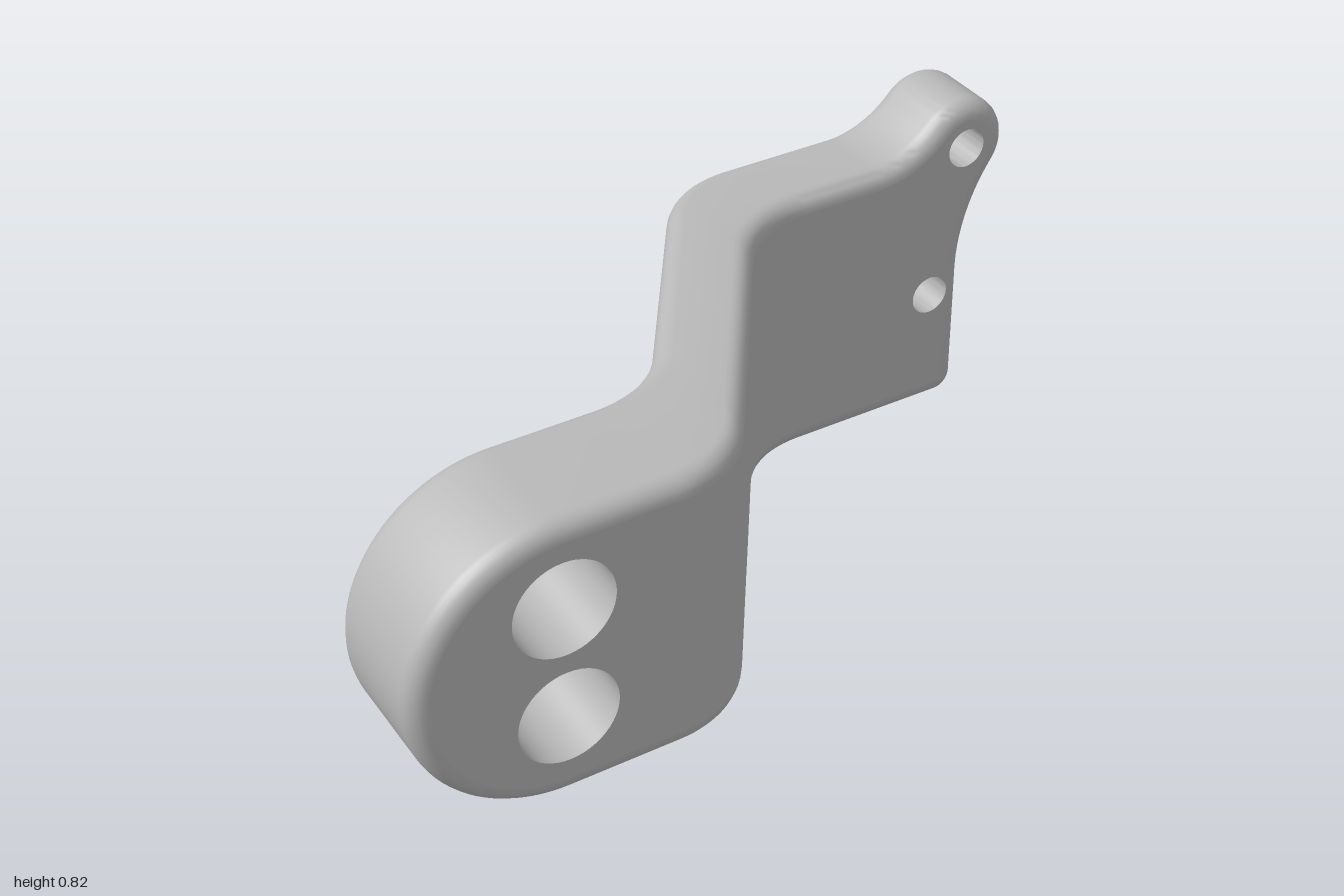
import * as THREE from 'three';
import { mergeGeometries, toCreasedNormals } from 'three/addons/utils/BufferGeometryUtils.js';

const X_LEFT = -0.46, X_RIGHT = 0.46, STEPS = 56; // span holding both bends
const HEIGHT = 0.705, EDGE = 0.045;               // plate height, edge rounding
const Z_LEFT = [0.18, 0.51], Z_RIGHT = [-0.51, -0.277]; // back and front of each end
const BEND = 0.26, SLOPE = 1.5;
const SEG = 48;

// Fall away from a flat along a filleted bend that ends in a straight slope
function drop(u) {
  if (u <= 0) return 0;
  const a = Math.atan(SLOPE);
  return u < BEND * Math.sin(a)
    ? BEND - Math.sqrt(BEND * BEND - u * u)
    : SLOPE * (u - BEND * Math.tan(a / 2));
}

// Step-shaped surface z(x) with two filleted corners
function stepSurface(zLeft, zRight, xa, xb) {
  const t = BEND * Math.tan(Math.atan(SLOPE) / 2);
  const middle = (xa + xb) / 2;
  return x => x < middle ? zLeft - drop(x - xa + t) : zRight + drop(xb + t - x);
}
const frontZ = stepSurface(Z_LEFT[1], Z_RIGHT[1], -0.24, 0.285);
const backZ = stepSurface(Z_LEFT[0], Z_RIGHT[0], -0.265, 0.195);

// Depth below a surface, kept constant along the surface normal
function below(surface, x, d) {
  const slope = (surface(x + 0.001) - surface(x - 0.001)) / 0.002;
  return d * Math.hypot(1, slope);
}

// Outline seen from the front, counter-clockwise, with outward normals
function makeOutline() {
  const pts = [];
  const arc = (cx, cy, r, a0, a1, n) => {
    const s = a1 > a0 ? 1 : -1;
    for (let i = 0; i <= n; i++) {
      const a = a0 + (a1 - a0) * i / n, c = Math.cos(a), q = Math.sin(a);
      const p = { x: cx + r * c, y: cy + r * q, nx: s * c, ny: s * q };
      const last = pts[pts.length - 1];
      if (Math.hypot(p.x - last.x, p.y - last.y) > 0.003) pts.push(p);
    }
  };
  const line = (y, ny, from, to) => {
    for (let i = 0; i <= STEPS; i++) pts.push({ x: from + (to - from) * i / STEPS, y, nx: 0, ny });
  };
  const PI = Math.PI;
  const low = Math.atan2(-0.343, 0.491), high = Math.atan2(0.238, -0.262);
  line(0, -1, X_LEFT, X_RIGHT);
  arc(0.837, 0.055, 0.055, -PI / 2, 0, 8);
  arc(1.373, 0.36, 0.481, PI, PI + low, 14);
  arc(0.882, 0.703, 0.118, low, high, 32);
  arc(0.62, 0.941, 0.236, high - PI, -PI / 2, 12);
  line(HEIGHT, 1, X_RIGHT, X_LEFT);
  arc(-0.6475, HEIGHT / 2, HEIGHT / 2, PI / 2, 1.5 * PI, 48);
  return pts;
}

// Quad mesh through rows of points
function loft(rows, closed) {
  const n = rows[0].length, index = [];
  for (let k = 0; k < rows.length - 1; k++) {
    for (let i = 0; i < (closed ? n : n - 1); i++) {
      const j = (i + 1) % n, a = k * n, b = a + n;
      index.push(a + i, b + i, b + j, a + i, b + j, a + j);
    }
  }
  const g = new THREE.BufferGeometry();
  g.setAttribute('position', new THREE.Float32BufferAttribute(rows.flat(2), 3));
  g.setIndex(index);
  return g;
}

// Flat end face with round holes
function endFace(pts, holes, z, facesBack) {
  const shape = new THREE.Shape(pts.map(p => new THREE.Vector2(p.x - p.nx * EDGE, p.y - p.ny * EDGE)));
  for (const [x, y, r] of holes) {
    const ring = Array.from({ length: SEG }, (_, i) => {
      const a = -i / SEG * Math.PI * 2;
      return new THREE.Vector2(x + r * Math.cos(a), y + r * Math.sin(a));
    });
    shape.holes.push(new THREE.Path(ring));
  }
  const g = new THREE.ShapeGeometry(shape);
  if (facesBack) g.index.array.reverse();
  return g.translate(0, 0, z);
}

// Smooth normals within one surface, sharp beyond the crease angle
function creased(g) {
  const flat = g.toNonIndexed();
  for (const name of ['normal', 'uv']) flat.deleteAttribute(name);
  return toCreasedNormals(flat, 0.6);
}

// Inward-facing wall of a round hole
function holeWall(x, y, r, [z0, z1]) {
  const g = new THREE.CylinderGeometry(r, r, z1 - z0, SEG, 1, true);
  g.rotateX(Math.PI / 2).scale(-1, 1, 1).translate(x, y, (z0 + z1) / 2);
  return creased(g);
}

export function createModel() {
  const group = new THREE.Group();
  const grey = new THREE.MeshStandardMaterial({ color: 0xb8b8b8 });
  grey.name = 'grey';
  const add = (name, geometry) => {
    const mesh = new THREE.Mesh(geometry, grey);
    mesh.name = name;
    group.add(mesh);
  };

  const outline = makeOutline();
  const bores = [[-0.65, 0.497], [-0.65, 0.215]];
  const pinHoles = [[0.882, 0.703, 0.05], [0.797, 0.315, 0.05]];
  const BORE = 0.118, SCREW = 0.037, FLOOR = 0.28;

  // Rounded rim: quarter rounds at front and back joined by the side wall
  const rows = [];
  const N = 6;
  for (const back of [false, true]) {
    for (let k = 0; k <= N; k++) {
      const a = (back ? N - k : k) / N * Math.PI / 2;
      const inset = EDGE * (1 - Math.sin(a)), depth = EDGE * (1 - Math.cos(a));
      rows.push(outline.map(p => {
        const x = p.x - p.nx * inset, y = p.y - p.ny * inset;
        const z = back ? backZ(x) + below(backZ, x, depth) : frontZ(x) - below(frontZ, x, depth);
        return [x, y, z];
      }));
    }
  }

  // Bent faces between the two flat ends
  const bent = (surface, yFirst, ySecond) => loft([yFirst, ySecond].map(y =>
    Array.from({ length: STEPS + 1 }, (_, i) => {
      const x = X_LEFT + (X_RIGHT - X_LEFT) * i / STEPS;
      return [x, y, surface(x)];
    })), false);
  const yLow = EDGE, yHigh = HEIGHT - EDGE;

  const leftPts = outline.filter(p => p.x <= X_LEFT + 1e-6);
  const rightPts = outline.filter(p => p.x >= X_RIGHT - 1e-6);
  const body = [
    loft(rows, true),
    bent(frontZ, yHigh, yLow),
    bent(backZ, yLow, yHigh),
    endFace(leftPts, bores.map(b => [...b, BORE]), Z_LEFT[1], false),
    endFace(leftPts, bores.map(b => [...b, SCREW]), Z_LEFT[0], true),
    endFace(rightPts, pinHoles, Z_RIGHT[1], false),
    endFace(rightPts, pinHoles, Z_RIGHT[0], true),
  ].map(creased);
  add('bracketBody', mergeGeometries(body));

  // Counterbored screw holes in the thick end
  for (const [x, y] of bores) {
    add('counterboreWall', holeWall(x, y, BORE, [FLOOR, Z_LEFT[1]]));
    add('counterboreFloor', new THREE.RingGeometry(SCREW, BORE, SEG).translate(x, y, FLOOR));
    add('screwHole', holeWall(x, y, SCREW, [Z_LEFT[0], FLOOR]));
  }

  // Through holes in the thin end and its ear
  for (const [x, y, r] of pinHoles) add('pinHole', holeWall(x, y, r, Z_RIGHT));

  return group;
}
